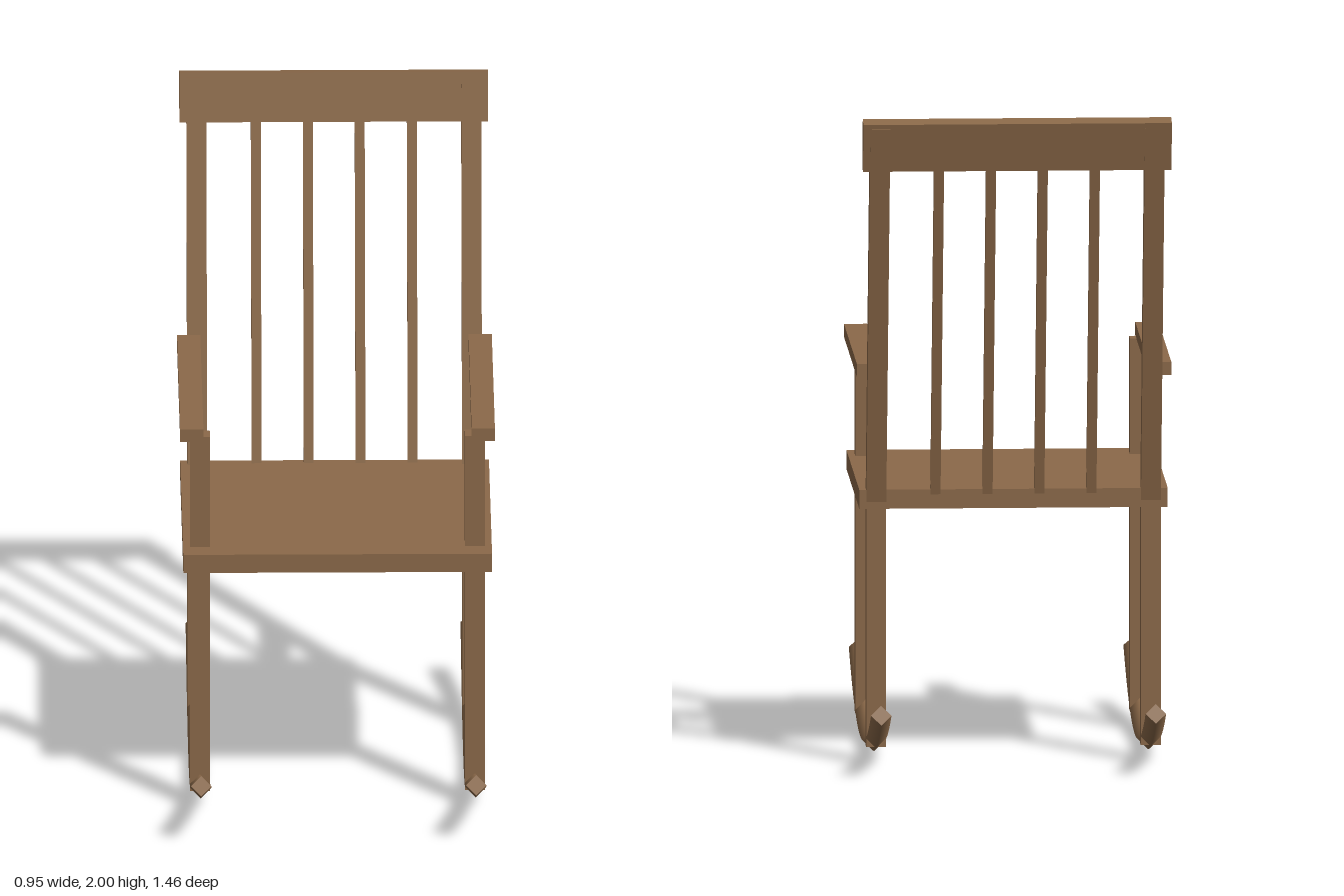
import * as THREE from 'three';

export function createModel() {
  const chair = new THREE.Group();
  chair.name = 'rockingChair';
  const wood = new THREE.MeshStandardMaterial({ color: 0x8b6949 });
  wood.name = 'brown wood';

  const add = (parent, name, geometry, x = 0, y = 0, z = 0) => {
    const mesh = new THREE.Mesh(geometry, wood);
    mesh.name = name;
    mesh.position.set(x, y, z);
    parent.add(mesh);
    return mesh;
  };
  // Box given by its lower and upper y and its back and front z
  const bar = (name, x, width, y0, y1, z0, z1) =>
    add(chair, name, new THREE.BoxGeometry(width, y1 - y0, z1 - z0), x, (y0 + y1) / 2, (z0 + z1) / 2);

  bar('seat', 0, 0.93, 0.78, 0.838, -0.39, 0.438);

  // Rocker path, bowed along z
  const end = 0.717, low = 0.034, high = 0.198, radius = 0.031;
  const path = new THREE.QuadraticBezierCurve3(
    new THREE.Vector3(0, high, end),
    new THREE.Vector3(0, 2 * low - high, 0),
    new THREE.Vector3(0, high, -end)
  );
  const rockerGeometry = new THREE.TubeGeometry(path, 24, radius, 4, false);
  const capGeometry = new THREE.CircleGeometry(radius, 4);

  // Legs, arms and rockers on both sides
  for (const [side, s] of [['left', 1], ['right', -1]]) {
    const x = s * 0.414;
    bar(side + 'FrontLeg', x, 0.06, 0.055, 1.19, 0.31, 0.368);
    bar(side + 'BackLeg', x, 0.06, 0.055, 0.79, -0.39, -0.33);
    bar(side + 'Arm', s * 0.439, 0.07, 1.187, 1.227, -0.426, 0.403);
    add(chair, side + 'Rocker', rockerGeometry, x);
    for (const t of [0, 1]) {
      const p = path.getPoint(t);
      const outward = path.getTangent(t).multiplyScalar(t ? 1 : -1);
      const cap = add(chair, side + 'RockerEnd', capGeometry, x, p.y, p.z);
      cap.lookAt(outward.add(cap.position));
    }
  }

  // Reclined back: origin on the seat top, local y runs up the slope
  const back = new THREE.Group();
  back.name = 'backrest';
  back.position.set(0, 0.838, -0.379);
  back.rotation.x = -0.2215;
  chair.add(back);
  const upright = (name, x, width, depth, from, to) =>
    add(back, name, new THREE.BoxGeometry(width, to - from, depth), x, (from + to) / 2, 0);

  upright('leftBackPost', 0.414, 0.06, 0.056, -0.03, 1.17);
  upright('rightBackPost', -0.414, 0.06, 0.056, -0.03, 1.17);
  for (const x of [-0.235, -0.078, 0.078, 0.235]) upright('spindle', x, 0.03, 0.028, -0.03, 1.06);
  upright('crestRail', 0, 0.93, 0.05, 1.034, 1.185);

  return chair;
}
